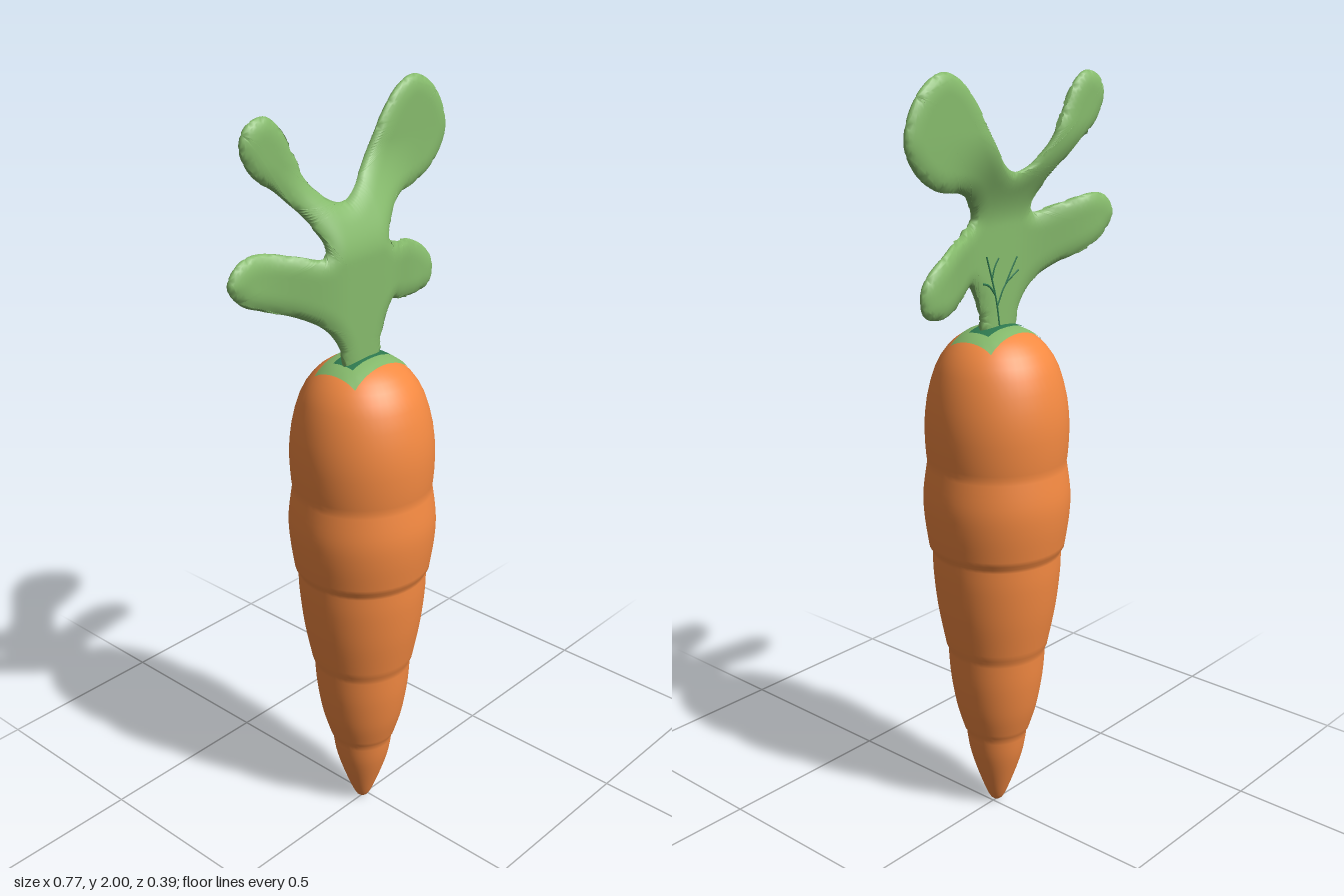
import * as THREE from 'three';
import { mergeVertices } from 'three/addons/utils/BufferGeometryUtils.js';

const V2 = (p) => new THREE.Vector2(p[0], p[1]);
const CX = -0.015; // axis of the root
const ORANGE = 0xf58a42, GREEN = 0x86bb6c, DARK = 0x2f7a50;

function part(name, geometry, color, side = THREE.FrontSide) {
  const mesh = new THREE.Mesh(geometry, new THREE.MeshStandardMaterial({ color, side }));
  mesh.name = name;
  return mesh;
}

// Root profile [radius, height]: one smooth bulge per entry, creased where they meet
const BULGES = [
  [[0, 0], [0.02, 0.015], [0.05, 0.09], [0.073, 0.165], [0.083, 0.228]],
  [[0.089, 0.238], [0.11, 0.31], [0.125, 0.4], [0.131, 0.483]],
  [[0.137, 0.494], [0.157, 0.6], [0.168, 0.7], [0.17, 0.768]],
  [[0.179, 0.78], [0.19, 0.86], [0.192, 0.93], [0.181, 1.012]],
  [[0.183, 1.025], [0.187, 1.1], [0.18, 1.18], [0.158, 1.26], [0.128, 1.31], [0.09, 1.343], [0.045, 1.36], [0, 1.364]],
];
const profile = BULGES.flatMap((b) => new THREE.SplineCurve(b.map(V2)).getPoints(14));
profile.forEach((p) => { p.x = Math.max(p.x, 0); });

// Height of the crown at a given radius
function crownY(r) {
  let i = profile.length - 1;
  while (i > 1 && profile[i - 1].x < r) i--;
  const a = profile[i], b = profile[i - 1];
  return THREE.MathUtils.lerp(a.y, b.y, (r - a.x) / (b.x - a.x));
}

// Square green patch draped over the crown
function crownPatch(halfX, halfZ, lift) {
  const g = new THREE.PlaneGeometry(halfX * 2, halfZ * 2, 16, 12).rotateX(-Math.PI / 2);
  const p = g.attributes.position;
  for (let i = 0; i < p.count; i++) p.setY(i, crownY(Math.hypot(p.getX(i), p.getZ(i))) + lift);
  g.computeVertexNormals();
  return g.translate(CX, 0, 0);
}

// Leaf outline with four lobes
const LEAF = [
  [-0.075, 1.32], [-0.085, 1.36], [-0.1, 1.41], [-0.14, 1.465], [-0.205, 1.505], [-0.285, 1.535], [-0.35, 1.565],
  [-0.388, 1.615], [-0.36, 1.66], [-0.3, 1.675], [-0.205, 1.655], [-0.135, 1.64], [-0.13, 1.67], [-0.16, 1.73],
  [-0.225, 1.8], [-0.3, 1.857], [-0.33, 1.92], [-0.31, 1.965], [-0.255, 1.98], [-0.21, 1.95], [-0.17, 1.885],
  [-0.125, 1.805], [-0.075, 1.76], [-0.035, 1.75], [0.015, 1.772], [0.09, 1.845], [0.145, 1.925], [0.2, 1.98],
  [0.257, 2.0], [0.32, 1.973], [0.368, 1.91], [0.38, 1.845], [0.345, 1.783], [0.28, 1.74], [0.175, 1.72],
  [0.115, 1.69], [0.082, 1.645], [0.13, 1.62], [0.215, 1.6], [0.295, 1.56], [0.33, 1.513], [0.32, 1.455],
  [0.265, 1.44], [0.165, 1.46], [0.092, 1.48], [0.06, 1.445], [0.045, 1.395], [0.042, 1.36], [0.035, 1.32],
];

// The leaf curls backward towards its lobe tips
function leafZ(x, y) {
  const side = THREE.MathUtils.smoothstep(Math.abs(x - CX), 0.06, 0.3);
  const top = THREE.MathUtils.smoothstep(y, 1.62, 1.86);
  return 0.004 - 0.075 * side * (1 - top) - 0.081 * top;
}

// Split triangles until no edge is longer than the limit
function subdivide(triangles, limit) {
  const done = [], stack = [...triangles];
  while (stack.length) {
    const t = stack.pop();
    const len = [0, 1, 2].map((i) => t[i].distanceTo(t[(i + 1) % 3]));
    const k = len.indexOf(Math.max(...len));
    if (len[k] <= limit) { done.push(t); continue; }
    const a = t[k], b = t[(k + 1) % 3], c = t[(k + 2) % 3];
    const m = new THREE.Vector2((a.x + b.x) / 2, (a.y + b.y) / 2);
    stack.push([a, m, c], [m, b, c]);
  }
  return done;
}

// Padded leaf: front and back sheets that meet in a rounded rim
function leafGeometry() {
  const edge = new THREE.CatmullRomCurve3(LEAF.map((p) => new THREE.Vector3(p[0], p[1], 0)), true)
    .getSpacedPoints(400).slice(0, -1).map((p) => new THREE.Vector2(p.x, p.y));
  if (THREE.ShapeUtils.isClockWise(edge)) edge.reverse();
  const faces = THREE.ShapeUtils.triangulateShape(edge, []).map((f) => f.map((i) => edge[i]));
  const cache = new Map();
  const thickness = (v) => {
    const key = v.x + ',' + v.y;
    if (!cache.has(key)) {
      let d = Infinity;
      for (const e of edge) d = Math.min(d, e.distanceToSquared(v));
      const u = Math.min(Math.sqrt(d) / 0.045, 1);
      cache.set(key, 0.018 * Math.sqrt(1 - (1 - u) ** 2));
    }
    return cache.get(key);
  };
  const pos = [];
  for (const t of subdivide(faces, 0.015)) {
    for (const v of t) pos.push(v.x, v.y, leafZ(v.x, v.y) + thickness(v));
    for (const v of [t[0], t[2], t[1]]) pos.push(v.x, v.y, leafZ(v.x, v.y) - thickness(v));
  }
  const raw = new THREE.BufferGeometry();
  raw.setAttribute('position', new THREE.Float32BufferAttribute(pos, 3));
  const g = mergeVertices(raw, 1e-5);
  g.computeVertexNormals();
  return g;
}

// Branching veins on the back of the leaf
const VEINS = [
  [[-0.01, 1.36], [0.005, 1.44], [0.04, 1.55]],
  [[0.0, 1.42], [-0.03, 1.47], [-0.08, 1.5]],
  [[-0.03, 1.47], [-0.05, 1.5], [-0.075, 1.535]],
  [[0.008, 1.45], [0.03, 1.475], [0.055, 1.485]],
  [[0.02, 1.49], [0.01, 1.52], [-0.005, 1.54]],
];

export function createModel() {
  const model = new THREE.Group();
  model.name = 'carrot';

  const root = part('root', new THREE.LatheGeometry(profile, 48), ORANGE);
  root.position.x = CX;
  model.add(root);

  model.add(part('crownPatch', crownPatch(0.1, 0.068, 0.003), GREEN, THREE.DoubleSide));
  model.add(part('stemSocket', crownPatch(0.07, 0.033, 0.006), DARK, THREE.DoubleSide));
  model.add(part('leaf', leafGeometry(), GREEN));

  const veins = new THREE.Group();
  veins.name = 'leafVeins';
  VEINS.forEach((pts) => {
    const curve = new THREE.CatmullRomCurve3(pts.map(([x, y]) => new THREE.Vector3(x, y, leafZ(x, y) - 0.017)));
    veins.add(part('vein', new THREE.TubeGeometry(curve, 10, 0.003, 6), DARK));
  });
  model.add(veins);
  return model;
}
